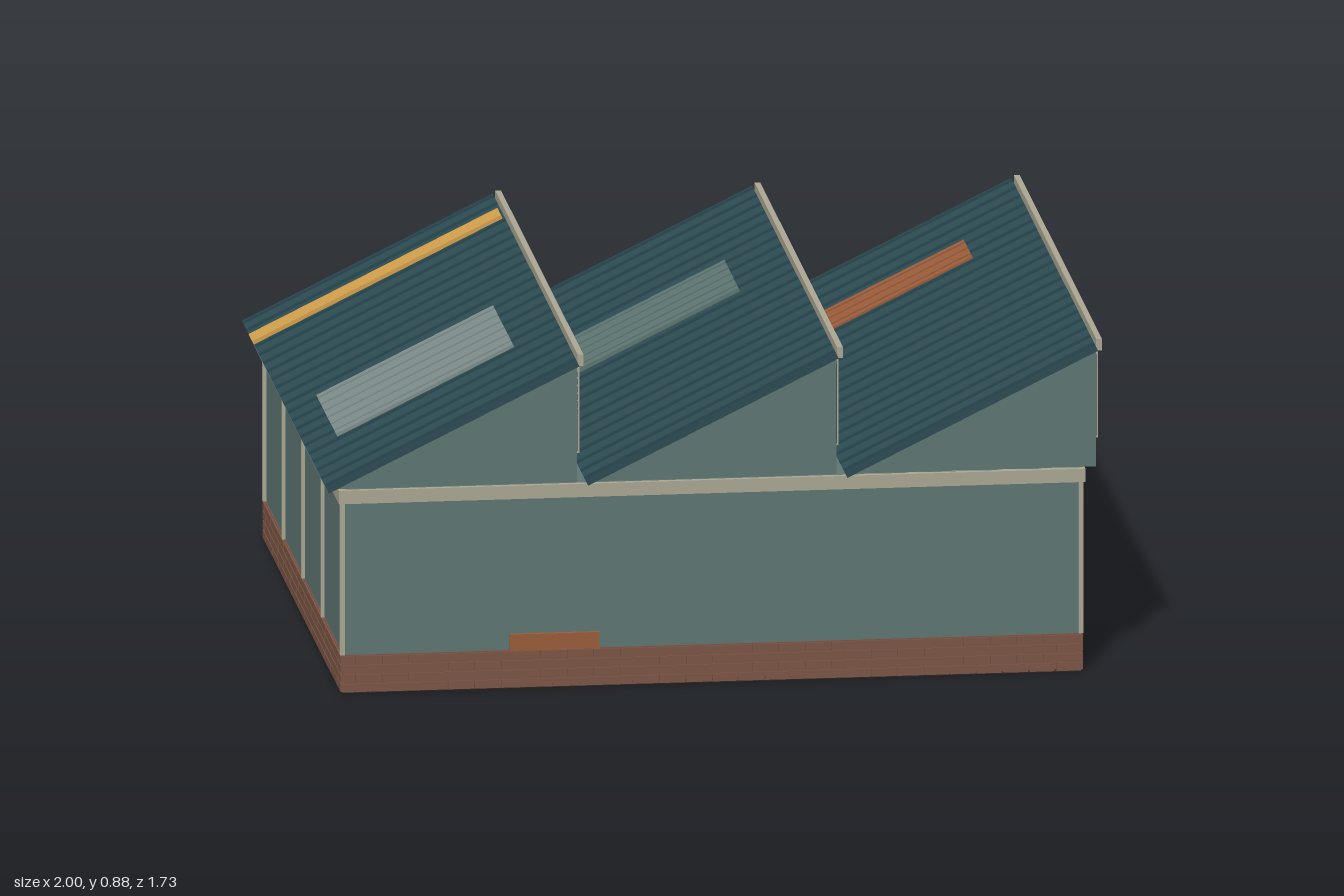
import * as THREE from 'three';
import { mergeGeometries } from 'three/addons/utils/BufferGeometryUtils.js';

const C = {
  wall: 0x5d7572, brick: 0x7b5544, base: 0x3a2a24, trim: 0xaaa692, roof: 0x2d4b53, rib: 0x284750,
  glass: 0x253740, dark: 0x1c2a31, rust: 0x9a5c3a, yellow: 0xd3a04c, pale: 0x7d8d8a,
};
const mats = {};
const mat = (key) => (mats[key] ??= new THREE.MeshStandardMaterial({ color: C[key], flatShading: true }));

// box given by its min and max corners
function boxGeo(x0, x1, y0, y1, z0, z1) {
  return new THREE.BoxGeometry(x1 - x0, y1 - y0, z1 - z0)
    .translate((x0 + x1) / 2, (y0 + y1) / 2, (z0 + z1) / 2);
}
function add(parent, name, key, geos) {
  const list = Array.isArray(geos) ? geos : [geos];
  const mesh = new THREE.Mesh(list.length > 1 ? mergeGeometries(list) : list[0], mat(key));
  mesh.name = name;
  parent.add(mesh);
  return mesh;
}

const HX = 0.95, HZ = 0.815, WALL_TOP = 0.535, BRICK_TOP = 0.1;
const PITCH = 0.667, RUN = 0.645, RISE = 0.315, ROOF_Z = 0.863;
const SLOPE = Math.atan2(RISE, RUN), LEN = Math.hypot(RUN, RISE);

function buildShell(g) {
  add(g, 'foundation', 'base', boxGeo(-HX, HX, 0, 0.01, -HZ, HZ));
  add(g, 'brickPlinth', 'brick', boxGeo(-HX, HX, 0.002, BRICK_TOP, -HZ, HZ));
  add(g, 'walls', 'wall', boxGeo(-HX + 0.003, HX - 0.003, BRICK_TOP, WALL_TOP, -HZ + 0.003, HZ - 0.003));

  // brick courses in running bond on all four sides
  const bricks = [], step = 0.068, out = 0.005;
  const openings = [[0.68, 0.89], [-0.8, 0.53]];
  for (let row = 0; row < 4; row++) {
    const y0 = 0.003 + row * 0.0245, y1 = y0 + 0.021, shift = (row % 2) * step / 2;
    for (const s of [-1, 1]) {
      for (let a = -HX - shift; a < HX; a += step) {
        const a0 = Math.max(a, -HX), a1 = Math.min(a + step - 0.005, HX);
        if (a1 - a0 < 0.008) continue;
        if (s < 0 && openings.some(([l, r]) => a1 > l && a0 < r)) continue;
        bricks.push(boxGeo(a0, a1, y0, y1, s * HZ - out, s * HZ + out));
      }
      for (let a = -HZ - shift; a < HZ; a += step) {
        const a0 = Math.max(a, -HZ), a1 = Math.min(a + step - 0.005, HZ);
        if (a1 - a0 > 0.008) bricks.push(boxGeo(s * HX - out, s * HX + out, y0, y1, a0, a1));
      }
    }
  }
  add(g, 'bricks', 'brick', bricks);

  // fascia band around the top of the walls
  const f = 0.01;
  add(g, 'fascia', 'trim', [1, -1].flatMap((s) => [
    boxGeo(-HX - f, HX + f, 0.5, WALL_TOP, s * HZ - f, s * HZ + f),
    boxGeo(s * HX - f, s * HX + f, 0.5, WALL_TOP, -HZ, HZ),
  ]));

  // battens and corner strips on the side walls
  const battens = [];
  for (const s of [-1, 1]) for (const z of [-0.81, -0.41, 0, 0.41, 0.81])
    battens.push(boxGeo(s * HX - 0.006, s * HX + 0.006, BRICK_TOP, 0.5, z - 0.007, z + 0.007));
  add(g, 'wallBattens', 'trim', battens);

  // rusty repair plates
  add(g, 'rustPlates', 'rust', [
    boxGeo(-0.52, -0.29, 0.1, 0.143, HZ - 0.01, HZ + 0.008),
    boxGeo(HX - 0.01, HX + 0.008, 0.03, 0.055, 0.44, 0.61),
    boxGeo(HX - 0.01, HX + 0.008, 0.035, 0.055, -0.65, -0.53),
    boxGeo(HX - 0.01, HX + 0.008, 0.072, 0.092, -0.11, 0.11),
  ]);
}

function buildSawtooth(index) {
  const g = new THREE.Group();
  g.name = 'sawtooth' + (index + 1);
  const x0 = -0.991 + PITCH * index, x1 = x0 + RUN, y0 = 0.537, y1 = y0 + RISE;

  // triangular gable body
  const tri = new THREE.Shape([[x0, y0], [x1, y0], [x1, y1]].map((p) => new THREE.Vector2(...p)));
  add(g, 'gable', 'wall', new THREE.ExtrudeGeometry(tri, { depth: 2 * HZ - 0.006, bevelEnabled: false })
    .translate(0, 0, -HZ + 0.003));

  // clerestory glazing with frame and mullions
  add(g, 'clerestoryGlass', 'glass', boxGeo(x1 - 0.01, x1 + 0.003, 0.615, 0.83, -0.8, 0.8));
  const frame = [boxGeo(x1, x1 + 0.007, 0.61, 0.62, -0.8, 0.8), boxGeo(x1, x1 + 0.007, 0.826, 0.835, -0.8, 0.8)];
  for (const z of [-0.795, -0.41, 0, 0.41, 0.795]) frame.push(boxGeo(x1, x1 + 0.007, 0.612, 0.833, z - 0.005, z + 0.005));
  add(g, 'clerestoryFrame', 'trim', frame);

  // sloping roof, built flat and then tilted
  const slope = new THREE.Group();
  slope.name = 'roofSlope';
  slope.position.set(x0, y0 + 0.002, 0);
  slope.rotation.z = SLOPE;
  g.add(slope);
  const T = 0.019;
  add(slope, 'roofSheet', 'roof', boxGeo(0, LEN, 0, T, -ROOF_Z, ROOF_Z));
  const ribs = [];
  for (let i = -10; i <= 10; i++) {
    const z = THREE.MathUtils.clamp(i * 0.0866, -ROOF_Z + 0.005, ROOF_Z - 0.005);
    ribs.push(boxGeo(0, LEN, T, T + 0.007, z - 0.005, z + 0.005));
  }
  add(slope, 'roofRibs', 'rib', ribs);

  // replacement sheets laid over the roof, with their own seams
  const sheet = (name, key, xa, xb, za, zb, seams) => {
    const a = (xa - x0) / Math.cos(SLOPE), b = (xb - x0) / Math.cos(SLOPE);
    const geos = [boxGeo(a, b, T, T + 0.01, za, zb)];
    for (let i = 0; i < seams; i++) {
      const z = za + (zb - za) * (i + 0.5) / seams;
      geos.push(boxGeo(a, b, T + 0.01, T + 0.014, z - 0.005, z + 0.005));
    }
    add(slope, name, key, geos);
  };
  if (index === 0) {
    sheet('yellowStrip', 'yellow', x0, x1 - 0.005, -0.713, -0.637, 0);
    sheet('paleSheet', 'pale', -0.915, -0.46, 0.085, 0.495, 6);
  }
  if (index === 1) sheet('greenSheet', 'wall', -0.232, 0.188, -0.35, 0.055 - 0.11, 5);
  if (index === 2) sheet('rustSheet', 'rust', 0.447, 0.827, -0.54, -0.36, 3);

  add(g, 'ridgeCap', 'trim', boxGeo(x1 - 0.005, x1 + 0.01, y1 + 0.003, y1 + 0.033, -ROOF_Z, ROOF_Z));
  return g;
}

function buildSideWindow() {
  const g = new THREE.Group();
  g.name = 'sideWindow';
  const a = HX - 0.01, b = HX + 0.016;
  add(g, 'windowGlass', 'glass', boxGeo(a, HX + 0.008, 0.305, 0.445, -0.65, -0.25));
  const bars = [boxGeo(a, b, 0.295, 0.312, -0.66, -0.24), boxGeo(a, b, 0.438, 0.455, -0.66, -0.24)];
  for (const z of [-0.65, -0.25]) bars.push(boxGeo(a, b, 0.312, 0.438, z - 0.01, z + 0.01));
  for (const z of [-0.518, -0.386]) bars.push(boxGeo(a, b - 0.003, 0.312, 0.438, z - 0.004, z + 0.004));
  add(g, 'windowFrame', 'trim', bars);
  return g;
}

// frame of two jambs and a head around an opening in the back wall
const doorFrame = (x0, x1, top, w) => [
  boxGeo(x0, x0 + w, 0.002, top, -HZ - 0.018, -HZ + 0.01),
  boxGeo(x1 - w, x1, 0.002, top, -HZ - 0.018, -HZ + 0.01),
  boxGeo(x0 + w, x1 - w, top - w, top, -HZ - 0.018, -HZ + 0.01),
];

function buildRollerDoor(x0, x1, bandY, lampX) {
  const g = new THREE.Group();
  g.name = 'rollerDoor';
  const w = 0.03, top = 0.465;
  add(g, 'doorFrame', 'trim', doorFrame(x0, x1, top, w));
  add(g, 'doorBacking', 'dark', boxGeo(x0 + w, x1 - w, 0.002, top - w, -HZ - 0.004, -HZ + 0.01));
  const slats = [], n = 13, h = (top - w - 0.004) / n;
  for (let i = 0; i < n; i++) slats.push(boxGeo(x0 + w, x1 - w, 0.004 + i * h, 0.004 + i * h + h * 0.75, -HZ - 0.01, -HZ));
  add(g, 'doorSlats', 'roof', slats);
  add(g, 'paleSlat', 'pale', boxGeo(x0 + w, x1 - w, bandY, bandY + 0.03, -HZ - 0.013, -HZ));
  add(g, 'doorPlate', 'rust', boxGeo(x0 + 0.025, x0 + 0.12, 0.42, 0.443, -HZ - 0.022, -HZ));
  add(g, 'doorLamp', 'dark', boxGeo(lampX - 0.125, lampX + 0.125, 0.468, 0.49, -HZ - 0.04, -HZ));
  return g;
}

function buildEntryDoor() {
  const g = new THREE.Group();
  g.name = 'entryDoor';
  add(g, 'entryFrame', 'trim', doorFrame(0.68, 0.885, 0.335, 0.02));
  add(g, 'entryLeaf', 'dark', boxGeo(0.7, 0.865, 0.002, 0.315, -HZ - 0.01, -HZ + 0.01));
  add(g, 'entryPanel', 'yellow', boxGeo(0.72, 0.845, 0.185, 0.295, -HZ - 0.016, -HZ));
  add(g, 'entryHandle', 'trim', boxGeo(0.715, 0.728, 0.13, 0.165, -HZ - 0.03, -HZ));
  // rusty plates on the plinth beside the door
  add(g, 'plinthPlates', 'rust', [
    boxGeo(0.555, 0.665, 0.085, 0.125, -HZ - 0.016, -HZ),
    boxGeo(0.575, 0.645, 0.035, 0.08, -HZ - 0.01, -HZ),
  ]);
  return g;
}

export function createModel() {
  const model = new THREE.Group();
  model.name = 'sawtoothFactory';
  buildShell(model);
  for (let i = 0; i < 3; i++) model.add(buildSawtooth(i));
  model.add(buildSideWindow(), buildEntryDoor());
  model.add(buildRollerDoor(-0.115, 0.53, 0.305, 0.235), buildRollerDoor(-0.8, -0.15, 0.1, -0.485));
  return model;
}
